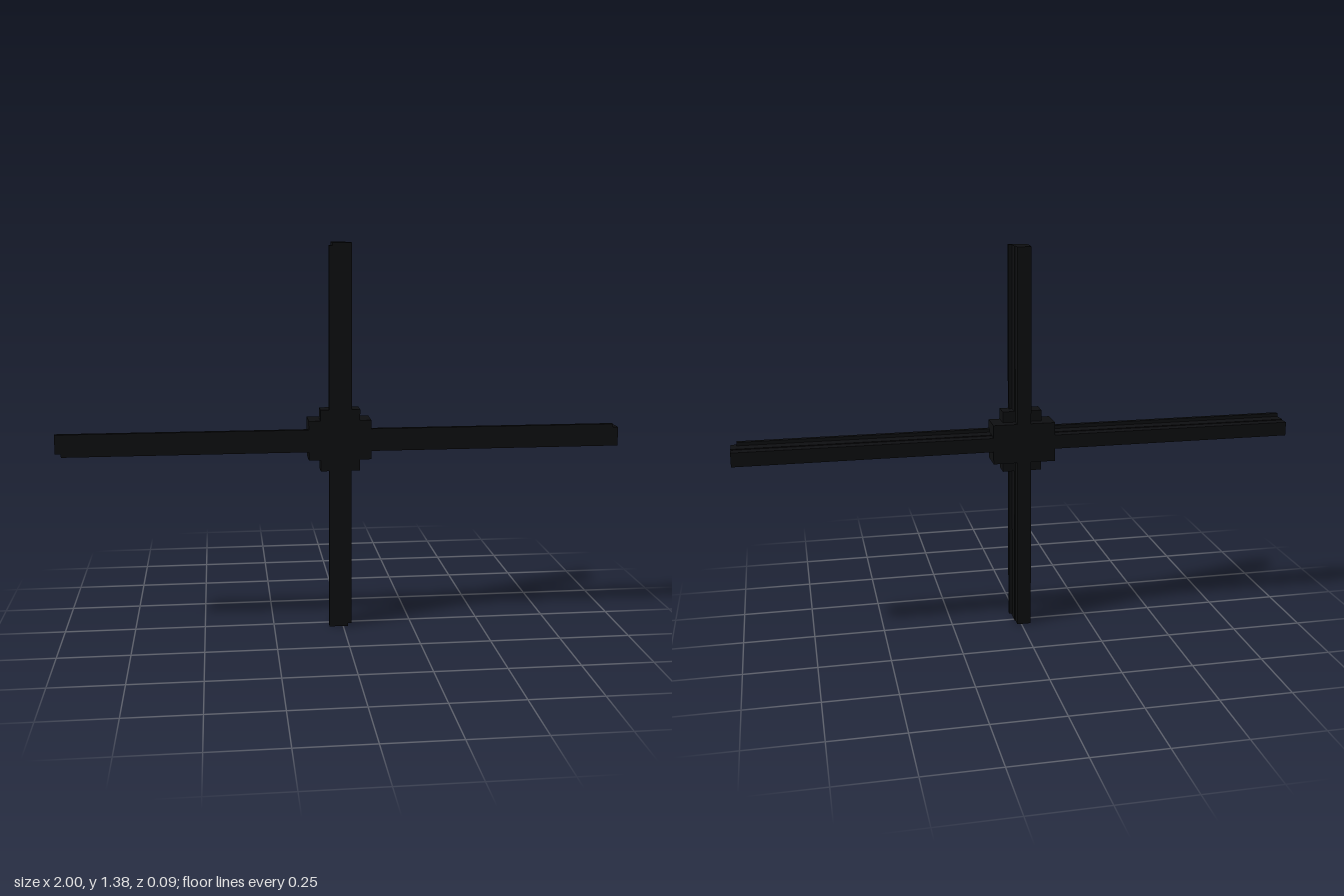
import * as THREE from 'three';

const FRONT = 0.047, BACK = -0.047, FLANGE_BACK = 0.03;
const CX = -0.01, CY = 0.69;

const material = new THREE.MeshStandardMaterial({ color: 0x0e0f11, flatShading: true });

function polygon(points) {
  return new THREE.Shape(points.map(([x, y]) => new THREE.Vector2(x, y)));
}

// Extrudes an outline drawn in x/y between two depths.
function slab(name, points, zBack, zFront) {
  const geometry = new THREE.ExtrudeGeometry(polygon(points), { depth: zFront - zBack, bevelEnabled: false });
  geometry.translate(0, 0, zBack);
  const mesh = new THREE.Mesh(geometry, material);
  mesh.name = name;
  return mesh;
}

function rect(x0, x1, y0, y1) {
  return [[x0, y0], [x1, y0], [x1, y1], [x0, y1]];
}

// One bar lying along x: a wide front flange with staggered end strips
// and a stepped, narrower body behind it.
function bar(name, length, stagger) {
  const group = new THREE.Group();
  group.name = name;
  const h = length / 2, w = 0.04, inner = 0.028;
  group.add(slab('frontFlange', [
    [-h + stagger, -w], [h, -w], [h, inner], [h - stagger, inner],
    [h - stagger, w], [-h, w], [-h, -inner], [-h + stagger, -inner],
  ], FLANGE_BACK, FRONT));

  // Body profile: x of the shape is depth, y is across the bar.
  const side = [[FLANGE_BACK, 0.028], [-0.012, 0.028], [-0.012, 0.025], [BACK, 0.025]];
  const profile = [...side, ...side.slice().reverse().map(([z, y]) => [z, -y])];
  const geometry = new THREE.ExtrudeGeometry(polygon(profile), { depth: length, bevelEnabled: false });
  geometry.translate(0, 0, -h);
  geometry.rotateY(-Math.PI / 2);
  const body = new THREE.Mesh(geometry, material);
  body.name = 'steppedBody';
  group.add(body);
  return group;
}

export function createModel() {
  const model = new THREE.Group();
  model.name = 'windowCross';

  const horizontal = bar('horizontalBar', 2, 0.02);
  horizontal.position.set(0, CY, 0);

  const vertical = bar('verticalBar', 1.38, 0.01);
  vertical.rotation.z = Math.PI / 2;
  vertical.position.set(CX, CY, 0);

  // Stepped block covering the crossing.
  const joint = new THREE.Group();
  joint.name = 'centreJoint';
  joint.add(
    slab('wideBlock', rect(-0.122, 0.1, 0.62, 0.761), BACK, FRONT),
    slab('tallBlock', rect(-0.08, 0.06, 0.58, 0.8), -0.012, FRONT),
  );

  model.add(horizontal, vertical, joint);
  return model;
}
